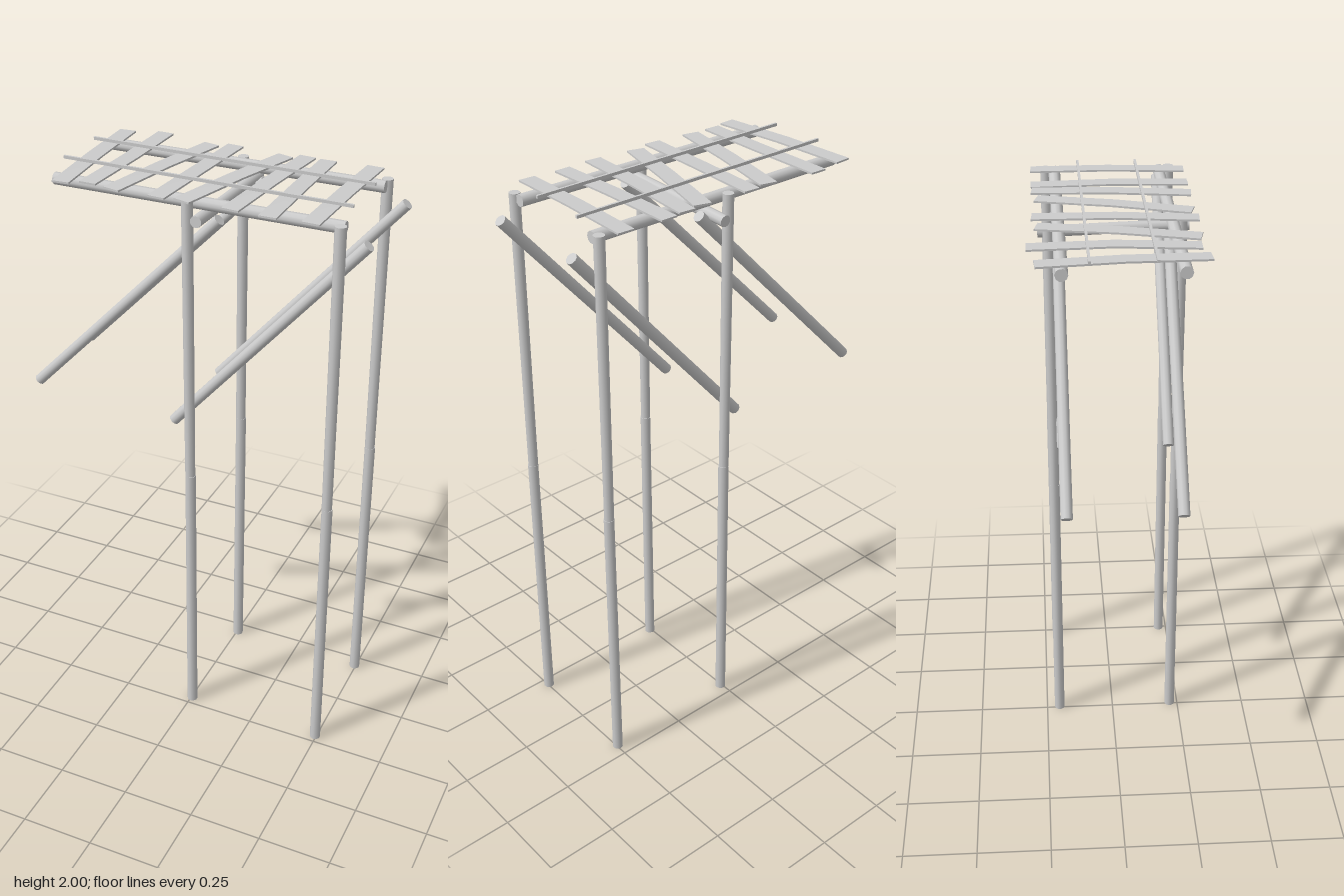
import * as THREE from 'three';

const material = new THREE.MeshStandardMaterial({ color: 0xcccccc });
const V = (x, y, z) => new THREE.Vector3(x, y, z);

// Round pole between two points
function pole(name, a, b, r0, r1 = r0) {
  const dir = b.clone().sub(a);
  const mesh = new THREE.Mesh(new THREE.CylinderGeometry(r1, r0, dir.length(), 10), material);
  mesh.name = name;
  mesh.position.copy(a).add(b).multiplyScalar(0.5);
  mesh.quaternion.setFromUnitVectors(V(0, 1, 0), dir.normalize());
  return mesh;
}

// Thin plank running back to front, with a slight bend and arch at its middle
function slat([x0, z0, xm, x1, z1], y, name) {
  const geo = new THREE.BoxGeometry(0.057, 0.006, 1, 1, 1, 2);
  const p = geo.attributes.position;
  for (let i = 0; i < p.count; i++) {
    const t = p.getZ(i) + 0.5;
    const mid = Math.abs(t - 0.5) < 0.01;
    const slope = (x1 - x0) / (z1 - z0);
    const side = p.getX(i);
    const cx = mid ? xm : t < 0.5 ? x0 : x1;
    const cz = z0 + (z1 - z0) * t;
    p.setXYZ(i, cx + side, p.getY(i) + y + (mid ? 0.004 : 0), cz - side * slope);
  }
  geo.computeVertexNormals();
  const mesh = new THREE.Mesh(geo, material);
  mesh.name = name;
  return mesh;
}

export function createModel() {
  const model = new THREE.Group();
  model.name = 'poleShelter';

  // Four posts, each of two lengths that meet at mid height
  for (const x of [0.005, 0.495]) {
    for (const z of [0.22, -0.203]) {
      const post = new THREE.Group();
      post.name = 'post';
      post.add(
        pole('lowerPost', V(x, 0, z), V(x + 0.002, 0.99, z), 0.0185, 0.018),
        pole('upperPost', V(x + 0.001, 0.99, z), V(x, 1.97, z), 0.017, 0.0185)
      );
      model.add(post);
    }
  }

  // Per side: a roof rail and two diagonal braces
  for (const z of [0.187, -0.173]) {
    model.add(
      pole('roofRail', V(-0.47, 1.954, z), V(0.5, 1.954, z), 0.02),
      pole('brace', V(-0.582, 1.207, z), V(0.097, 1.91, z), 0.019),
      pole('brace', V(-0.066, 1.173, z), V(0.573, 1.91, z), 0.019)
    );
  }

  // Cross beam under the rails
  model.add(pole('crossBeam', V(0.046, 1.916, 0.248), V(0.046, 1.9, -0.238), 0.019));

  // Roof slats: back x, back z, middle x, front x, front z
  const slats = [
    [-0.44, -0.25, -0.422, -0.405, 0.267],
    [-0.309, -0.273, -0.305, -0.321, 0.247],
    [-0.125, -0.242, -0.18, -0.235, 0.256],
    [-0.045, -0.255, -0.057, -0.078, 0.265],
    [0.138, -0.239, 0.07, 0.001, 0.253],
    [0.209, -0.253, 0.187, 0.164, 0.265],
    [0.279, -0.255, 0.283, 0.284, 0.265],
    [0.437, -0.255, 0.428, 0.418, 0.265],
  ];
  slats.forEach((s, i) => model.add(slat(s, 1.977 + (i % 2) * 0.003, 'roofSlat')));

  // Thin battens lying over the slats
  for (const z of [-0.093, 0.104]) {
    const batten = new THREE.Mesh(new THREE.BoxGeometry(0.975, 0.01, 0.008), material);
    batten.name = 'batten';
    batten.position.set(0.005, 1.992, z);
    batten.rotation.z = -0.006;
    model.add(batten);
  }
  return model;
}
